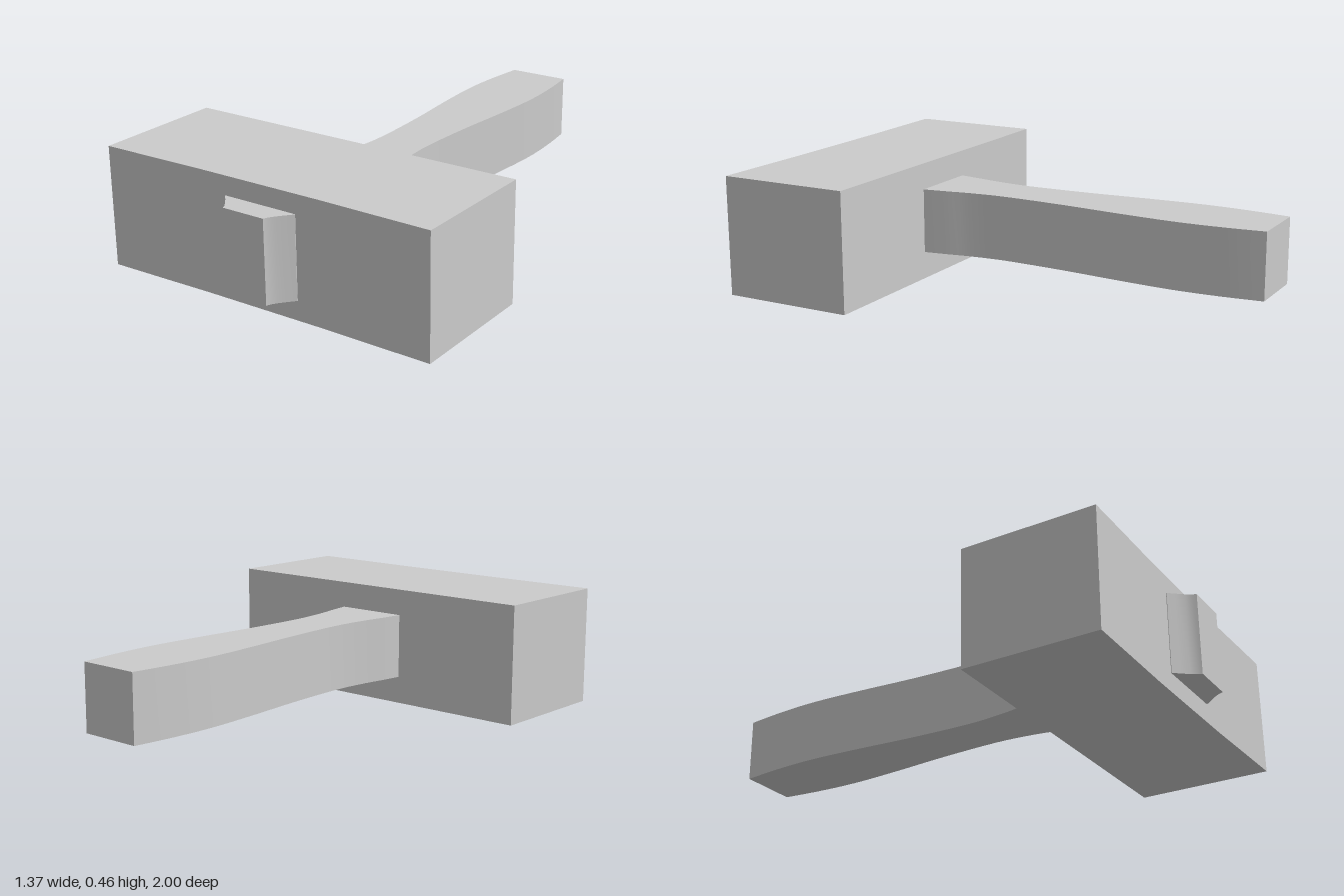
import * as THREE from 'three';
import { toCreasedNormals } from 'three/addons/utils/BufferGeometryUtils.js';

const material = new THREE.MeshStandardMaterial({ color: 0xcccccc });

// Prism from a mirrored plan outline: profile holds [half width, z] from back to front
function planPrism(name, profile, y0, y1) {
  const right = profile.map(([x, z]) => new THREE.Vector2(x, -z));
  const left = profile.map(([x, z]) => new THREE.Vector2(-x, -z)).reverse();
  const geometry = new THREE.ExtrudeGeometry(new THREE.Shape([...right, ...left]), {
    depth: y1 - y0,
    bevelEnabled: false,
  });
  geometry.rotateX(-Math.PI / 2).translate(0, y0, 0);
  const mesh = new THREE.Mesh(toCreasedNormals(geometry, 0.4), material);
  mesh.name = name;
  return mesh;
}

// Smooth [half width, z] outline through a few points
function smoothProfile(points, divisions) {
  const curve = new THREE.SplineCurve(points.map(([x, z]) => new THREE.Vector2(x, z)));
  return curve.getPoints(divisions).map((p) => [p.x, p.y]);
}

export function createModel() {
  const group = new THREE.Group();
  group.name = 'mallet';

  // Block head, its striking-side face very slightly hollow
  group.add(planPrism('head', [
    [0.687, 0.395], [0.687, 0.918], [0.48, 0.915], [0.25, 0.911],
  ], 0, 0.463));

  // Waisted grip with flat top and bottom
  const grip = smoothProfile([
    [0.122, -1], [0.14, -0.84], [0.147, -0.66], [0.134, -0.44], [0.113, -0.2],
    [0.102, 0.05], [0.113, 0.2], [0.13, 0.3], [0.145, 0.4],
  ], 32);
  group.add(planPrism('handle', grip, 0.107, 0.36));

  // Tenon end projecting through the head, with hollowed shoulders
  group.add(planPrism('tenonEnd', [
    [0.15, 0.9], [0.15, 0.913], [0.128, 0.938], [0.106, 0.964], [0.092, 0.985], [0.086, 1],
  ], 0.075, 0.39));

  return group;
}
